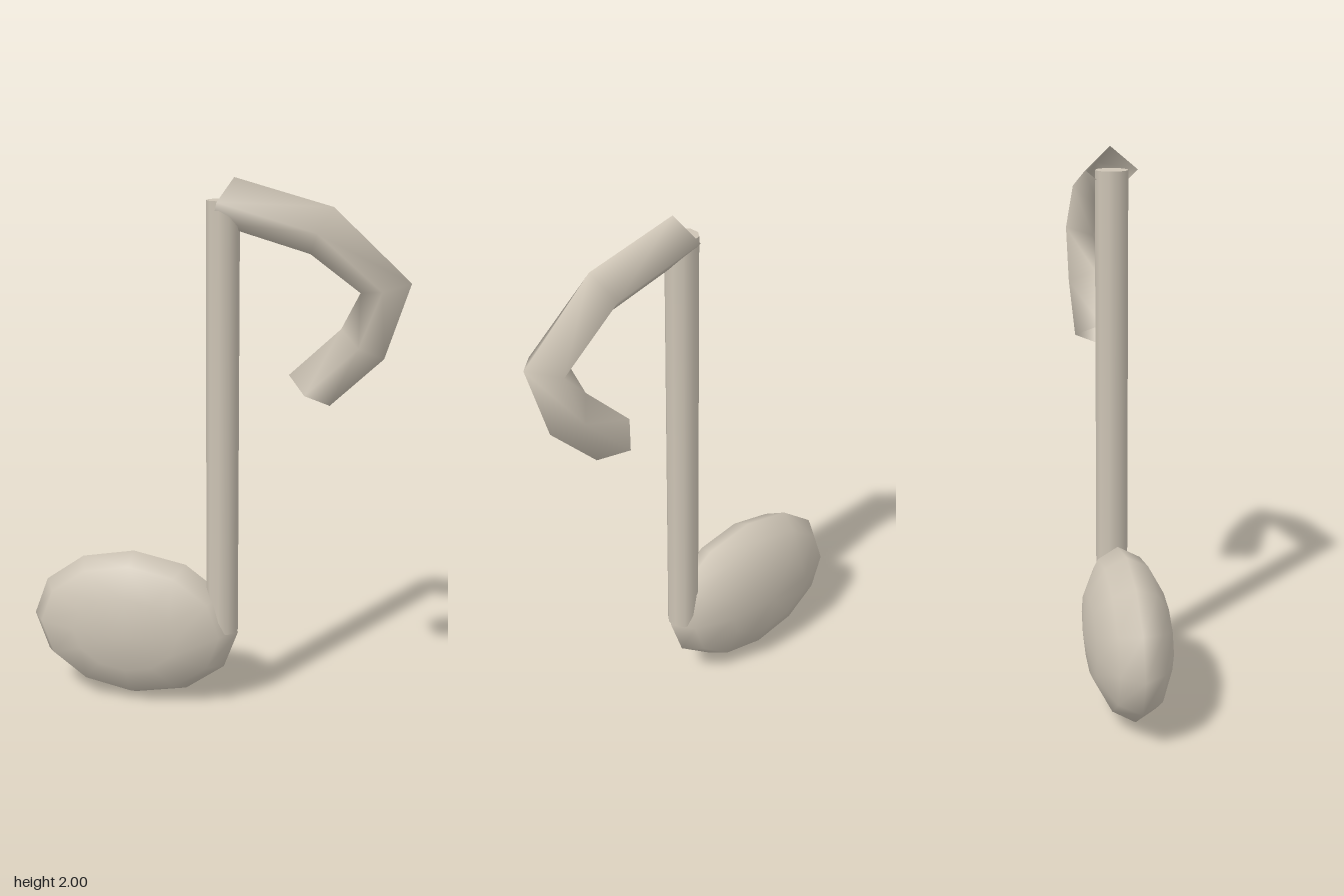
import * as THREE from 'three';

const stone = new THREE.MeshStandardMaterial({ color: 0xcdc4b5, side: THREE.DoubleSide });
stone.name = 'warm stone';

// Open four-sided tube bent in the xy plane; each section is [outer x, y, inner x, y]
function diamondTube(sections, halfDepth) {
  const points = [], index = [];
  for (const [ox, oy, ix, iy] of sections) {
    const mx = (ox + ix) / 2, my = (oy + iy) / 2;
    points.push(ox, oy, 0, mx, my, halfDepth, ix, iy, 0, mx, my, -halfDepth);
  }
  for (let i = 0; i < sections.length - 1; i++) {
    for (let k = 0; k < 4; k++) {
      const a = i * 4 + k, b = i * 4 + (k + 1) % 4;
      index.push(a, b, a + 4, b, b + 4, a + 4);
    }
  }
  const geometry = new THREE.BufferGeometry();
  geometry.setAttribute('position', new THREE.Float32BufferAttribute(points, 3));
  geometry.setIndex(index);
  geometry.computeVertexNormals();
  return geometry;
}

export function createModel() {
  const note = new THREE.Group();
  note.name = 'musicNote';
  const add = (name, geometry, x = 0, y = 0) => {
    const mesh = new THREE.Mesh(geometry, stone);
    mesh.name = name;
    mesh.position.set(x, y, 0);
    note.add(mesh);
  };

  // Flattened oval head, poles facing front and back
  const head = new THREE.SphereGeometry(1, 12, 6);
  head.rotateX(Math.PI / 2);
  head.scale(0.41, 0.292, 0.157);
  add('noteHead', head, -0.308, 0.295);

  // Upright stem
  add('stem', new THREE.CylinderGeometry(0.06, 0.06, 1.62, 10), 0.04, 1.11);

  // Hooked flag, open at both ends
  add('flag', diamondTube([
    [0.08, 2.0, 0.0, 1.84],
    [0.435, 1.905, 0.355, 1.74],
    [0.713, 1.65, 0.535, 1.61],
    [0.625, 1.38, 0.47, 1.48],
    [0.435, 1.2, 0.285, 1.305],
  ], 0.094));

  return note;
}
